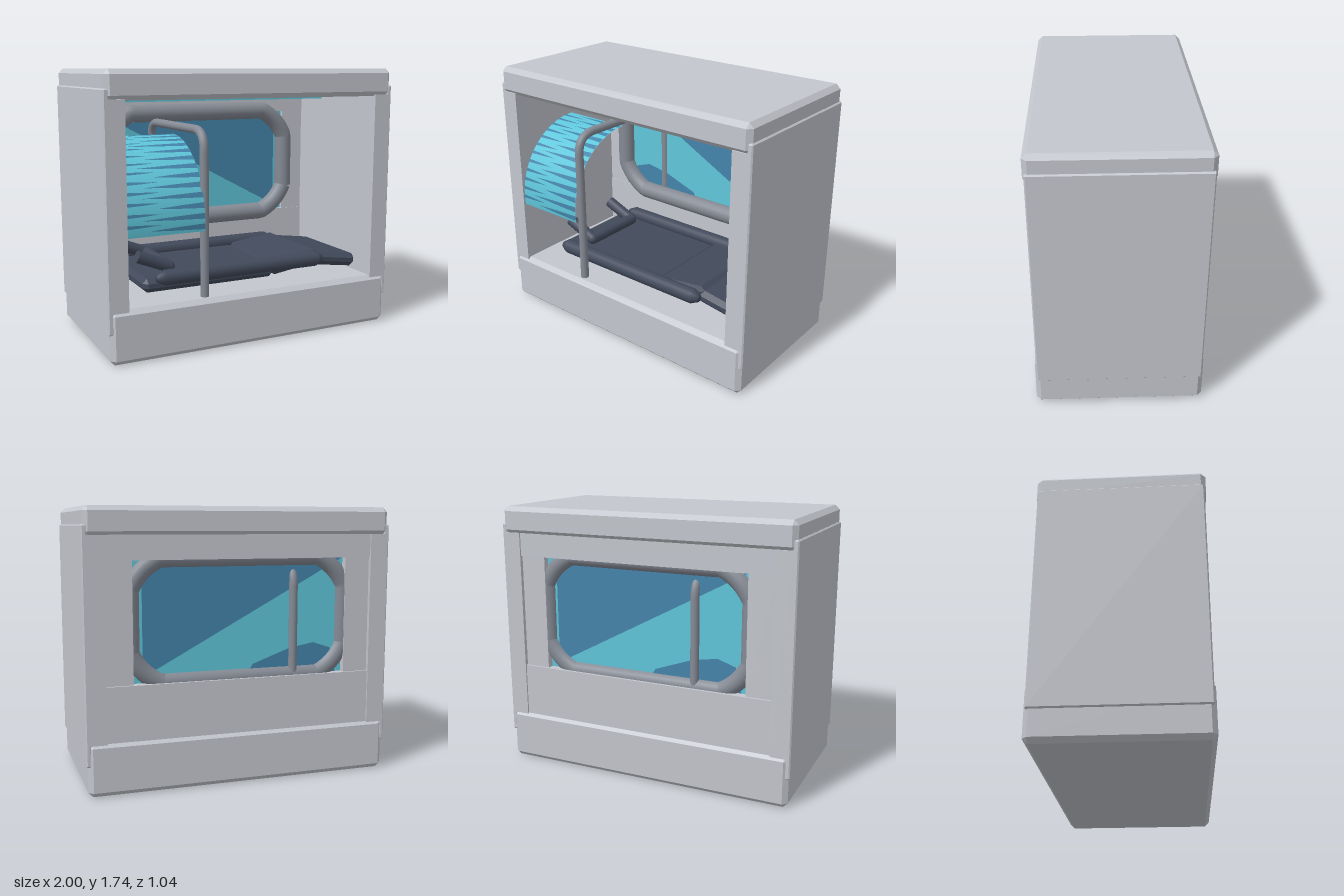
import * as THREE from 'three';
import { ConvexGeometry } from 'three/addons/geometries/ConvexGeometry.js';

const mat = (name, color, side = THREE.FrontSide) => {
  const m = new THREE.MeshStandardMaterial({ color, side });
  m.name = name;
  return m;
};

// Box with every edge cut by c
function chamferBox(w, h, d, c) {
  const pts = [];
  for (const sx of [-1, 1]) for (const sy of [-1, 1]) for (const sz of [-1, 1]) {
    for (let k = 0; k < 3; k++) {
      const cut = [c, c, c];
      cut[k] = 0;
      pts.push(new THREE.Vector3(sx * (w / 2 - cut[0]), sy * (h / 2 - cut[1]), sz * (d / 2 - cut[2])));
    }
  }
  return new ConvexGeometry(pts);
}

export function createModel() {
  const root = new THREE.Group();
  root.name = 'sleepingPod';
  const shell = mat('shell grey', 0xc3c6cd);
  const pipe = mat('pipe grey', 0x858a94);
  const pad = mat('padding navy', 0x424a5b);
  const light = mat('light glass', 0x5fc6da, THREE.DoubleSide);
  const dark = mat('dark glass', 0x4484aa, THREE.DoubleSide);

  const add = (name, geo, material, x = 0, y = 0, z = 0, parent = root) => {
    const m = new THREE.Mesh(geo, material);
    m.name = name;
    m.position.set(x, y, z);
    parent.add(m);
    return m;
  };
  // Box given by its limits
  const block = (name, material, x0, x1, y0, y1, z0, z1, c = 0) => {
    const s = [x1 - x0, y1 - y0, z1 - z0];
    return add(name, c ? chamferBox(...s, c) : new THREE.BoxGeometry(...s), material,
      (x0 + x1) / 2, (y0 + y1) / 2, (z0 + z1) / 2);
  };
  const v = (x, y, z) => new THREE.Vector3(x, y, z);

  // Shell: base, roof, side walls and outer side panels
  block('base', shell, -0.99, 0.99, 0, 0.335, -0.52, 0.52, 0.03);
  block('roof', shell, -0.99, 0.99, 1.56, 1.74, -0.52, 0.52, 0.03);
  for (const s of [-1, 1]) {
    const side = s > 0 ? 'left' : 'right';
    const span = (a, b) => (s > 0 ? [a, b] : [-b, -a]);
    block(side + 'Wall', shell, ...span(0.87, 0.975), 0.32, 1.57, -0.51, 0.51);
    block(side + 'SidePanel', shell, ...span(0.965, 1), 0.19, 1.63, -0.51, 0.51, 0.008);
    block(side + 'BackPanel', shell, ...span(0.7, 0.88), 0.66, 1.43, -0.485, -0.415);
  }
  block('lowerBackPanel', shell, -0.88, 0.88, 0.32, 0.67, -0.5, -0.41);
  block('upperBackPanel', shell, -0.88, 0.88, 1.42, 1.57, -0.5, -0.41);
  block('ceilingLight', light, -0.77, 0.76, 1.53, 1.55, -0.03, 0.03);

  // Window pane with darker reflections on both faces
  block('windowPane', light, -0.7, 0.7, 0.67, 1.42, -0.442, -0.438);
  const reflections = [
    [[-0.7, 1.42], [0.635, 0.705], [0.635, 1.42]],
    [[-0.66, 0.67], [-0.03, 0.67], [-0.08, 0.75], [-0.33, 0.84], [-0.5, 0.87], [-0.62, 0.83]],
  ];
  for (const outline of reflections) {
    const shape = new THREE.Shape(outline.map(([x, y]) => new THREE.Vector2(x, y)));
    add('windowReflection', new THREE.ExtrudeGeometry(shape, { depth: 0.008, bevelEnabled: false }),
      dark, 0, 0, -0.444);
  }

  // Thick tube around the window, with cut corners
  const ring = new THREE.CurvePath();
  const W = 0.71, Y0 = 0.665, Y1 = 1.43, C = 0.19, P = 0.06, Z = -0.42;
  const corners = [[W, Y1, 1, 1], [-W, Y1, -1, 1], [-W, Y0, -1, -1], [W, Y0, 1, -1]];
  let last = v(W, Y0 + C, Z);
  corners.forEach(([x, y, sx, sy]) => {
    const onSide = v(x, y - sy * C, Z), onFlat = v(x - sx * C, y, Z);
    const [a, b] = sx * sy > 0 ? [onSide, onFlat] : [onFlat, onSide];
    ring.add(new THREE.LineCurve3(last, a));
    ring.add(new THREE.QuadraticBezierCurve3(a, v(x - sx * P, y - sy * P, Z), b));
    last = b;
  });
  add('windowSurround', new THREE.TubeGeometry(ring, 160, 0.062, 20, false), pipe);

  // Hoop standing across the bed
  const hoop = new THREE.CurvePath();
  const hx = -0.353, hz = 0.45, top = 1.37, r = 0.13;
  hoop.add(new THREE.LineCurve3(v(hx, 0.335, hz), v(hx, top - r, hz)));
  hoop.add(new THREE.QuadraticBezierCurve3(v(hx, top - r, hz), v(hx, top, hz), v(hx, top, hz - r)));
  hoop.add(new THREE.LineCurve3(v(hx, top, hz - r), v(hx, top, r - hz)));
  hoop.add(new THREE.QuadraticBezierCurve3(v(hx, top, r - hz), v(hx, top, -hz), v(hx, top - r, -hz)));
  hoop.add(new THREE.LineCurve3(v(hx, top - r, -hz), v(hx, 0.335, -hz)));
  add('hoop', new THREE.TubeGeometry(hoop, 120, 0.028, 14, false), pipe);

  // Curved canopy over the head end
  const R = 0.497, cy = 0.82, start = -0.12, sweep = Math.PI / 2 - start;
  const canopy = new THREE.PlaneGeometry(0.5, 1, 1, 32);
  const bend = (geo, radius) => {
    const p = geo.attributes.position;
    for (let i = 0; i < p.count; i++) {
      const a = start + (p.getY(i) + 0.5) * sweep;
      p.setXYZ(i, p.getX(i) - 0.62, cy + radius * Math.sin(a), radius * Math.cos(a));
    }
    geo.computeVertexNormals();
    return geo;
  };
  add('canopy', bend(canopy, R), light);
  // Dark streaks tapering in from both ends of the canopy
  const streaks = 13;
  for (let i = 0; i < streaks; i++) {
    const t = (i + 0.5) / streaks - 0.5;
    const len = 0.36 + 0.06 * Math.sin(i * 2.3);
    for (const [x, tip, h] of [[0.25, 0.25 - len, 0.021], [-0.25, -0.03, 0.013]]) {
      const mid = x > 0 ? t : t + 0.5 / streaks;
      if (mid + h > 0.5) continue;
      const xm = (x + tip) / 2;
      const shape = new THREE.Shape([[x, mid - h], [xm, mid - h * 0.6], [tip, mid], [xm, mid + h * 0.6], [x, mid + h]]
        .map(([a, b]) => new THREE.Vector2(a, b)));
      add('canopyStreak', bend(new THREE.ShapeGeometry(shape), R + 0.003), dark);
    }
  }

  // Bed: flat pad, raised knee section and sloping foot section
  const bed = new THREE.Group();
  bed.name = 'bed';
  root.add(bed);
  add('mainPad', chamferBox(0.93, 0.09, 0.66, 0.03), pad, -0.245, 0.405, 0, bed);
  add('kneePad', chamferBox(0.38, 0.1, 0.66, 0.03), pad, 0.385, 0.44, 0, bed).rotation.z = 0.14;
  add('footPad', chamferBox(0.37, 0.09, 0.66, 0.03), pad, 0.7, 0.425, 0, bed).rotation.z = -0.14;
  // Side bolsters with tapered ends
  const profile = [[0, -0.605], [0.025, -0.6], [0.05, -0.55], [0.05, 0.55], [0.025, 0.6], [0, 0.605]]
    .map(([a, b]) => new THREE.Vector2(a, b));
  for (const s of [-1, 1]) {
    const b = add('bolster', new THREE.LatheGeometry(profile, 16), pad, -0.035, 0.46, s * 0.36, bed);
    b.rotation.z = -Math.PI / 2;
  }
  // U-shaped head cradle, tilted up toward the head end
  const cradle = new THREE.Group();
  cradle.name = 'headCradle';
  cradle.position.set(-0.6, 0.53, 0);
  cradle.rotation.z = -0.38;
  bed.add(cradle);
  for (const s of [-1, 1]) {
    const arm = add('cradleArm', new THREE.CylinderGeometry(0.04, 0.04, 0.24, 14), pad, 0, 0, s * 0.21, cradle);
    arm.rotation.z = Math.PI / 2;
    add('cradleCorner', new THREE.SphereGeometry(0.04, 14, 10), pad, 0.11, 0, s * 0.21, cradle);
  }
  const bar = add('cradleBar', new THREE.CylinderGeometry(0.04, 0.04, 0.42, 14), pad, 0.11, 0, 0, cradle);
  bar.rotation.x = Math.PI / 2;

  return root;
}
